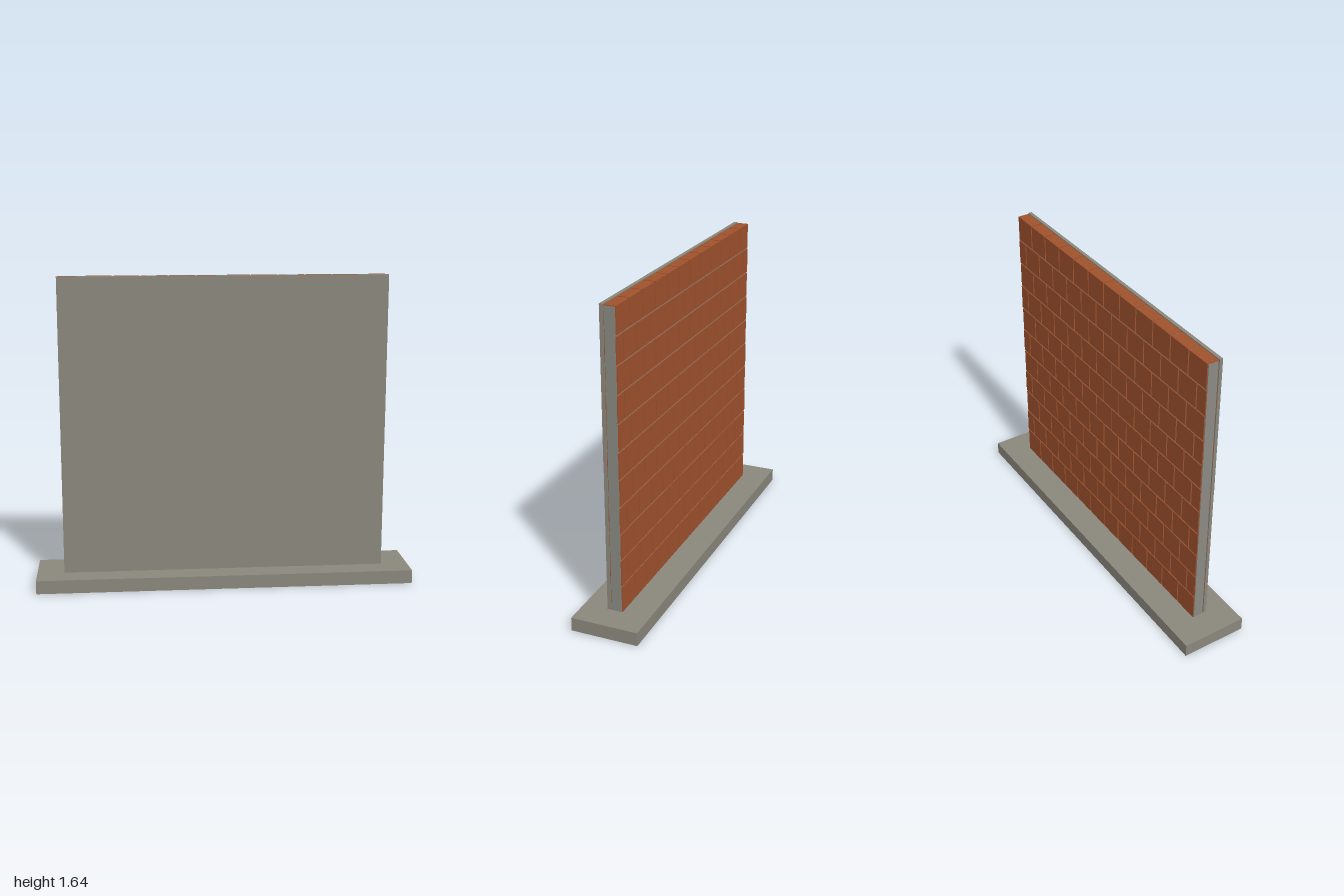
import * as THREE from 'three';

const WIDTH = 1.714, BOTTOM = 0.0715, COURSES = 11, PER_ROW = 12;
const PITCH = WIDTH / PER_ROW, JOINT = 0.008;

function material(name, color) {
  const m = new THREE.MeshStandardMaterial({ color });
  m.name = name;
  return m;
}

// Box given by its lower and upper corners
function block(name, mat, [x0, y0, z0], [x1, y1, z1]) {
  const mesh = new THREE.Mesh(new THREE.BoxGeometry(x1 - x0, y1 - y0, z1 - z0), mat);
  mesh.position.set((x0 + x1) / 2, (y0 + y1) / 2, (z0 + z1) / 2);
  mesh.name = name;
  return mesh;
}

export function createModel() {
  const model = new THREE.Group();
  model.name = 'brickWall';
  const concrete = material('concrete', 0x8b877d);
  const mortarGrey = material('mortarGrey', 0x8a8983);
  const brickRed = material('brickRed', 0xa0522d);
  const half = WIDTH / 2, top = BOTTOM + COURSES * PITCH;

  // Footing slab and the mortar core behind the bricks
  model.add(block('footing', concrete, [-1, 0, -0.177], [1, BOTTOM, 0.177]));
  model.add(block('mortarCore', mortarGrey,
    [-half, BOTTOM, -0.027], [half, top - JOINT, 0.027]));

  // Running bond: odd courses start and end with half bricks
  const bricks = new THREE.Group();
  bricks.name = 'bricks';
  for (let row = 0; row < COURSES; row++) {
    const shift = row % 2 ? PITCH / 2 : 0;
    const y = BOTTOM + row * PITCH;
    for (let i = row % 2 ? -1 : 0; i < PER_ROW; i++) {
      const start = -half + i * PITCH + shift;
      const x0 = Math.max(start + JOINT / 2, -half + 0.001);
      const x1 = Math.min(start + PITCH - JOINT / 2, half - 0.001);
      const y0 = row ? y + JOINT / 2 : y;
      const y1 = row === COURSES - 1 ? top - 0.003 : y + PITCH - JOINT / 2;
      bricks.add(block('brick', brickRed, [x0, y0, -0.032], [x1, y1, 0.031]));
    }
  }
  model.add(bricks);

  // Two stacked cladding panels on the front
  const seam = (BOTTOM + top) / 2;
  model.add(block('lowerPanel', concrete, [-half, BOTTOM, 0.033], [half, seam, 0.05]));
  model.add(block('upperPanel', concrete, [-half, seam, 0.033], [half, top, 0.051]));
  return model;
}
